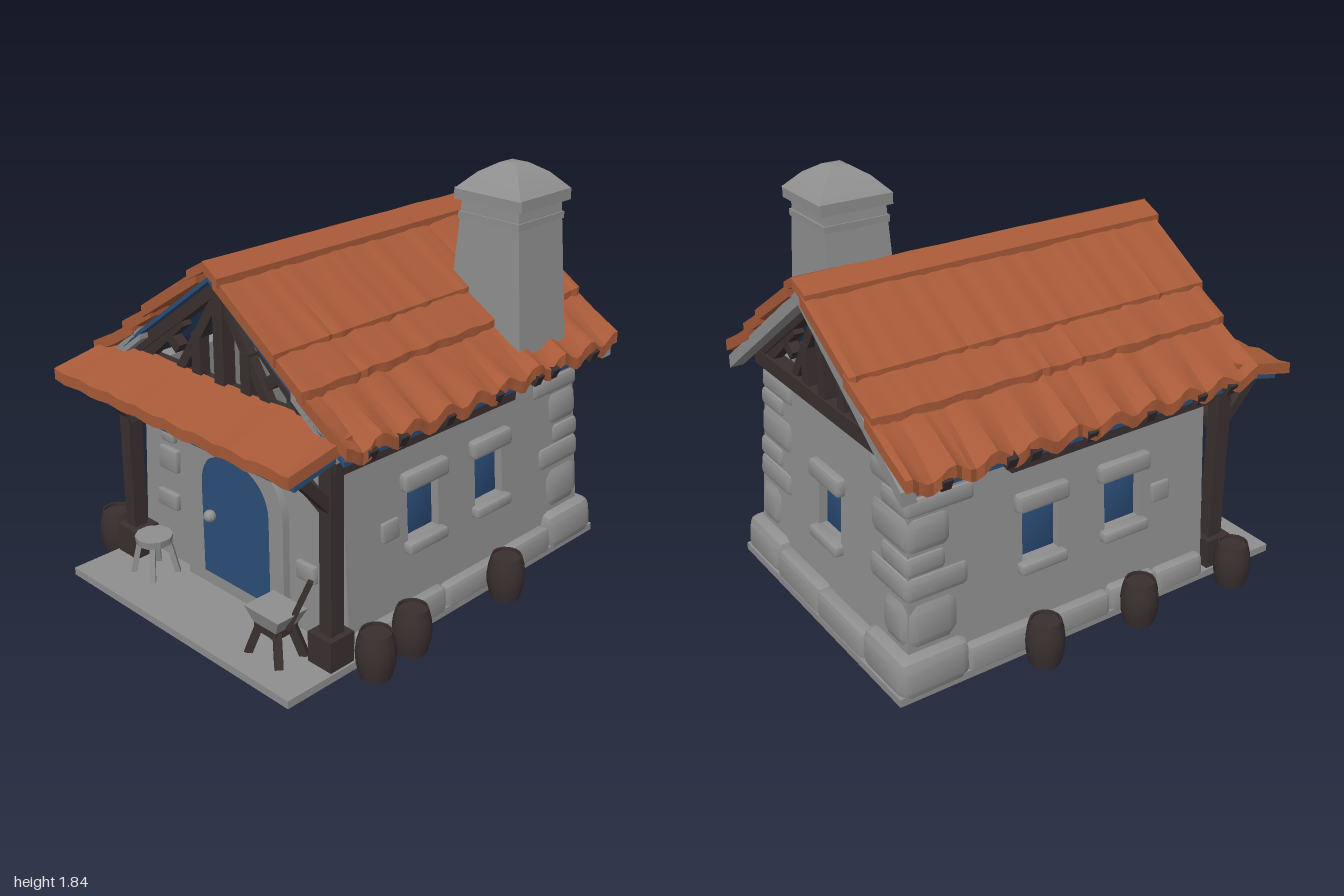
import * as THREE from 'three';
import { toCreasedNormals } from 'three/addons/utils/BufferGeometryUtils.js';
import { RoundedBoxGeometry } from 'three/addons/geometries/RoundedBoxGeometry.js';

const paint = (name, color) => Object.assign(new THREE.MeshStandardMaterial({ color }), { name });

export function createModel() {
  const stone = paint('stone', 0x8f8f8f), tile = paint('roofTile', 0xa85a38);
  const wood = paint('darkWood', 0x3a2f2f), blue = paint('blue', 0x2b4d78);
  const model = new THREE.Group();
  model.name = 'cottage';
  let seed = 7;
  const rnd = () => ((seed = (seed * 16807) % 2147483647) / 2147483647) - 0.5;

  const add = (name, geo, mat, parent = model) => {
    const mesh = new THREE.Mesh(toCreasedNormals(geo, 0.5), mat);
    mesh.name = name;
    parent.add(mesh);
    return mesh;
  };
  const bend = (geo, rule) => {
    const p = geo.attributes.position, v = new THREE.Vector3();
    for (let i = 0; i < p.count; i++) {
      rule(v.fromBufferAttribute(p, i));
      p.setXYZ(i, v.x, v.y, v.z);
    }
    return geo;
  };
  // Walls and their stones lean inwards towards the top
  const lean = (geo) => bend(geo, (v) => {
    v.x *= 1 - 0.09 * v.y;
    if (v.z < 0) v.z *= 1 - 0.07 * v.y;
  });
  const block = (name, x, y, z, w, h, d, mat = stone) =>
    add(name, lean(new RoundedBoxGeometry(w, h, d, 1, Math.min(w, h, d) * 0.25).translate(x, y, z)), mat);
  const box = (name, x, y, z, w, h, d, mat) =>
    add(name, new THREE.BoxGeometry(w, h, d).translate(x, y, z), mat);
  const beam = (name, a, b, w, h, mat = wood) => {
    const from = new THREE.Vector3(...a), to = new THREE.Vector3(...b);
    const mesh = add(name, new THREE.BoxGeometry(w, h, from.distanceTo(to)), mat);
    mesh.position.lerpVectors(from, to, 0.5);
    mesh.lookAt(to);
    return mesh;
  };
  const rect = (P, x0, x1, y0, y1) => {
    const s = new P();
    s.moveTo(x0, y0); s.lineTo(x1, y0); s.lineTo(x1, y1); s.lineTo(x0, y1); s.closePath();
    return s;
  };
  const extrude = (shape, depth) =>
    new THREE.ExtrudeGeometry(shape, { depth, bevelEnabled: false, curveSegments: 10 });

  // Floor slab
  box('floorSlab', 0, 0.03, 0.01, 1.4, 0.035, 1.98, stone);

  // Walls with window openings
  const sideWall = rect(THREE.Shape, -0.54, 0.84, 0.03, 0.99);
  const sideWindows = [0.165, -0.27];
  sideWindows.forEach((z) => sideWall.holes.push(rect(THREE.Path, -z - 0.095, -z + 0.095, 0.42, 0.66)));
  for (const x of [-0.66, 0.58])
    add('sideWall', lean(extrude(sideWall, 0.08).rotateY(Math.PI / 2).translate(x, 0, 0)), stone);
  const backWall = rect(THREE.Shape, -0.66, 0.66, 0.03, 0.99);
  backWall.holes.push(rect(THREE.Path, -0.1, 0.1, 0.42, 0.66));
  add('backWall', lean(extrude(backWall, 0.08).translate(0, 0, -0.92)), stone);
  add('frontWall', lean(extrude(rect(THREE.Shape, -0.66, 0.66, 0.03, 0.95), 0.08).translate(0, 0, 0.54)), stone);

  // Window panes, lintels and sills
  for (const s of [-1, 1]) for (const z of sideWindows) {
    block('windowPane', s * 0.615, 0.54, z, 0.008, 0.25, 0.2, blue);
    block('windowLintel', s * 0.665, 0.69, z, 0.07, 0.08, 0.27);
    block('windowSill', s * 0.665, 0.395, z, 0.07, 0.05, 0.24);
  }
  block('windowPane', 0, 0.54, -0.875, 0.21, 0.25, 0.008, blue);
  block('windowLintel', 0, 0.69, -0.925, 0.28, 0.08, 0.07);
  block('windowSill', 0, 0.395, -0.925, 0.25, 0.05, 0.07);

  // Stone base course, corner stones and single wall stones
  const quoins = [[0.31, 0.22, 0.26], [0.475, 0.11, 0.3], [0.575, 0.09, 0.19], [0.7, 0.16, 0.22], [0.82, 0.08, 0.33], [0.91, 0.1, 0.2]];
  for (const s of [-1, 1]) {
    [[0.6, 0.33, 0.12], [0.33, 0.07, 0.13], [0.07, -0.3, 0.12], [-0.3, -0.66, 0.13]].forEach(([a, b, h]) =>
      block('baseStone', s * 0.655, 0.02 + h / 2, (a + b) / 2, 0.1, h, a - b));
    block('cornerBaseStone', s * 0.545, 0.11, -0.815, 0.34, 0.18, 0.33);
    quoins.forEach(([y, h, l], i) => {
      const w = 0.22 + 0.09 * (i % 2);
      block('cornerStone', s * (0.675 - w / 2), y, -0.935 + l / 2, w, h, l);
    });
    block('wallStone', s * 0.655, 0.51, 0.37, 0.04, 0.09, 0.1);
  }
  block('backBaseStone', -0.19, 0.09, -0.93, 0.4, 0.14, 0.1);
  block('backBaseStone', 0.19, 0.095, -0.93, 0.4, 0.15, 0.1);
  [[-0.47, 0.66, 0.09, 0.05], [-0.47, 0.55, 0.13, 0.11], [-0.48, 0.345, 0.14, 0.08], [0.435, 0.34, 0.11, 0.08]].forEach(
    ([x, y, w, h]) => block('wallStone', x, y, 0.625, w, h, 0.04));

  // Arched door
  const arch = (P, w, y0, y1) => {
    const s = new P(), m = y1 - w * 0.85;
    s.moveTo(-w, y0); s.lineTo(-w, m);
    s.bezierCurveTo(-w, m + w * 0.5, -w * 0.6, y1, 0, y1);
    s.bezierCurveTo(w * 0.6, y1, w, m + w * 0.5, w, m);
    s.lineTo(w, y0); s.closePath();
    return s;
  };
  const frame = arch(THREE.Shape, 0.31, 0.04, 0.785);
  frame.holes.push(arch(THREE.Path, 0.225, 0.09, 0.7));
  add('doorFrame', extrude(frame, 0.06).translate(0, 0, 0.595), stone);
  add('door', extrude(arch(THREE.Shape, 0.23, 0.08, 0.705), 0.008).translate(0, 0, 0.622), blue);
  add('doorKnob', new THREE.SphereGeometry(0.028, 10, 8).translate(-0.16, 0.38, 0.65), stone);

  // Sloping slab from point a to b, with a scalloped, slightly ragged lower edge
  const slab = (s, [x0, y0], [x1, y1], th, z0, z1, nz = 1, wave = 0, rag = 0) => {
    const jig = Array.from({ length: nz + 1 }, () => rnd() * rag);
    return bend(new THREE.BoxGeometry(1, 1, 1, 2, 1, nz), (v) => {
      const u = s > 0 ? v.x + 0.5 : 0.5 - v.x, w = v.z + 0.5;
      const z = z0 + (z1 - z0) * w, k = jig[Math.round(w * nz)];
      v.x = s * (x0 + (x1 - x0) * u + k * u);
      v.y = y0 + (y1 - y0) * u + (v.y - 0.5) * th + u * u * wave * Math.cos((z * 2 * Math.PI) / 0.19) + k * 0.5;
      v.z = z + (w < 0.01 || w > 0.99 ? (u - 0.5) * rag * 0.8 : 0);
    });
  };

  // Main roof: tile rows, blue boarding, stone verge and rafter tails
  const rows = [[[0.05, 1.535], [0.4, 1.31], 0], [[0.36, 1.315], [0.55, 1.2], 0.004], [[0.5, 1.2], [0.77, 1.025], 0.024]];
  for (const s of [-1, 1]) {
    rows.forEach(([a, b, wave], i) =>
      add('tileRow', slab(s, a, b, 0.052, -0.975 + 0.005 * i, 0.765 - 0.005 * i, 56, wave, 0.014), tile));
    add('ridgeTiles', slab(s, [0, 1.582], [0.09, 1.533], 0.04, -0.98, 0.77, 10, 0, 0.012), tile);
    add('roofBoarding', slab(s, [0, 1.515], [0.74, 0.975], 0.02, -0.9, 0.74), blue);
    add('backVerge', slab(s, [0, 1.525], [0.74, 0.985], 0.06, -0.965, -0.9), stone);
    add('frontVerge', slab(s, [0.46, 1.19], [0.7, 1.01], 0.055, 0.68, 0.74), stone);
    for (const z of [0.62, 0.45, 0.18, -0.12, -0.39, -0.5, -0.79])
      beam('rafterTail', [s * 0.58, 1.06, z], [s * 0.775, 0.975, z], 0.045, 0.05);
  }

  // Gable trusses
  box('ridgeBeam', 0, 1.48, -0.09, 0.07, 0.07, 1.58, wood);
  for (const z of [0.67, -0.86]) {
    box('tieBeam', 0, 1.015, z, 1.24, 0.07, 0.07, wood);
    box('kingPost', 0, 1.26, z, 0.06, 0.46, 0.06, wood);
    for (const s of [-1, 1]) {
      beam('trussRafter', [0, 1.47, z], [s * 0.64, 1.005, z], 0.06, 0.06);
      beam('trussDiagonal', [0, 1.44, z], [s * 0.27, 1.04, z], 0.04, 0.045);
      beam('trussBrace', [s * 0.24, 1.26, z], [s * 0.5, 1.04, z], 0.045, 0.045);
      beam('trussStrut', [s * 0.39, 1.22, z], [s * 0.27, 1.13, z], 0.045, 0.05);
      box('trussPost', s * 0.15, 1.13, z, 0.055, 0.2, 0.05, wood);
    }
  }

  // Porch roof
  const porch = (...args) => slab(1, ...args).rotateY(-Math.PI / 2);
  add('porchTiles', porch([0.68, 1.06], [0.985, 0.99], 0.05, -0.72, 0.74, 24, 0.006, 0.014), tile);
  add('porchBoarding', porch([0.62, 1.02], [0.95, 0.945], 0.03, -0.7, 0.7), blue);

  // Porch posts, beams and braces
  box('porchBeam', 0, 0.925, 0.69, 1.36, 0.06, 0.06, wood);
  for (const s of [-1, 1]) {
    box('porchPost', s * 0.63, 0.49, 0.695, 0.065, 0.88, 0.07, wood);
    box('postFoot', s * 0.625, 0.115, 0.695, 0.13, 0.14, 0.13, wood);
    beam('sideBrace', [s * 0.62, 0.71, 0.695], [s * 0.29, 0.9, 0.695], 0.045, 0.045);
    beam('frontBrace', [s * 0.63, 0.74, 0.71], [s * 0.63, 0.95, 0.9], 0.045, 0.045);
    beam('wallPlate', [s * 0.615, 0.89, 0.66], [s * 0.615, 0.88, -0.41], 0.05, 0.07);
  }

  // Chimney: flared shaft whose foot follows the roof slope
  const shaft = new THREE.BoxGeometry(1, 1, 1, 1, 3, 1);
  add('chimneyShaft', bend(shaft, (v) => {
    const t = v.y + 0.5, right = v.x > 0;
    v.x = right ? 0.69 - 0.055 * t : 0.31 + 0.03 * t;
    const foot = right ? 1.05 : 1.32;
    v.y = foot + (1.7 - foot) * t;
    v.z = -0.515 + v.z * (0.32 - 0.03 * t);
  }), stone);
  box('chimneyBand', 0.487, 1.615, -0.515, 0.32, 0.03, 0.31, stone);
  box('chimneyCap', 0.485, 1.705, -0.52, 0.355, 0.05, 0.335, stone);
  const crown = [[0.245, 0], [0.15, 0.07], [0.06, 0.11], [0, 0.115]].map(([r, y]) => new THREE.Vector2(r, y));
  add('chimneyCrown', new THREE.LatheGeometry(crown, 4).rotateY(Math.PI / 4).translate(0.485, 1.727, -0.52), stone);

  // Barrels
  const staves = [[0, 0], [0.066, 0], [0.081, 0.06], [0.084, 0.11], [0.078, 0.16], [0.066, 0.205], [0.06, 0.205], [0.06, 0.19], [0, 0.19]];
  const barrelShape = staves.map(([r, y]) => new THREE.Vector2(r, y));
  [[-0.765, -0.33], [-0.765, 0.17], [-0.775, 0.7], [0.765, -0.24], [0.755, 0.36], [0.77, 0.59]].forEach(([x, z]) =>
    add('barrel', new THREE.LatheGeometry(barrelShape, 14).translate(x, 0, z), wood));

  // Stool
  add('stoolSeat', new THREE.CylinderGeometry(0.085, 0.08, 0.035, 10).translate(-0.42, 0.215, 0.76), stone);
  for (const x of [-1, 1]) for (const z of [-1, 1])
    beam('stoolLeg', [-0.42 + x * 0.045, 0.2, 0.76 + z * 0.045], [-0.42 + x * 0.07, 0.045, 0.76 + z * 0.07], 0.024, 0.024, stone);

  // Stone trough on a trestle, with a leaning pole
  add('trough', bend(new THREE.BoxGeometry(0.2, 0.07, 0.16), (v) => {
    if (v.y < 0) { v.x *= 0.65; v.z *= 0.75; }
  }).translate(0.43, 0.225, 0.81), stone);
  box('trestleTop', 0.43, 0.175, 0.81, 0.13, 0.035, 0.12, wood);
  for (const x of [-1, 1]) for (const z of [-1, 1])
    beam('trestleLeg', [0.43 + x * 0.05, 0.18, 0.81 + z * 0.04], [0.43 + x * 0.09, 0.045, 0.81 + z * 0.07], 0.035, 0.035);
  beam('leaningPole', [0.5, 0.19, 0.81], [0.57, 0.41, 0.75], 0.022, 0.022);

  return model;
}
